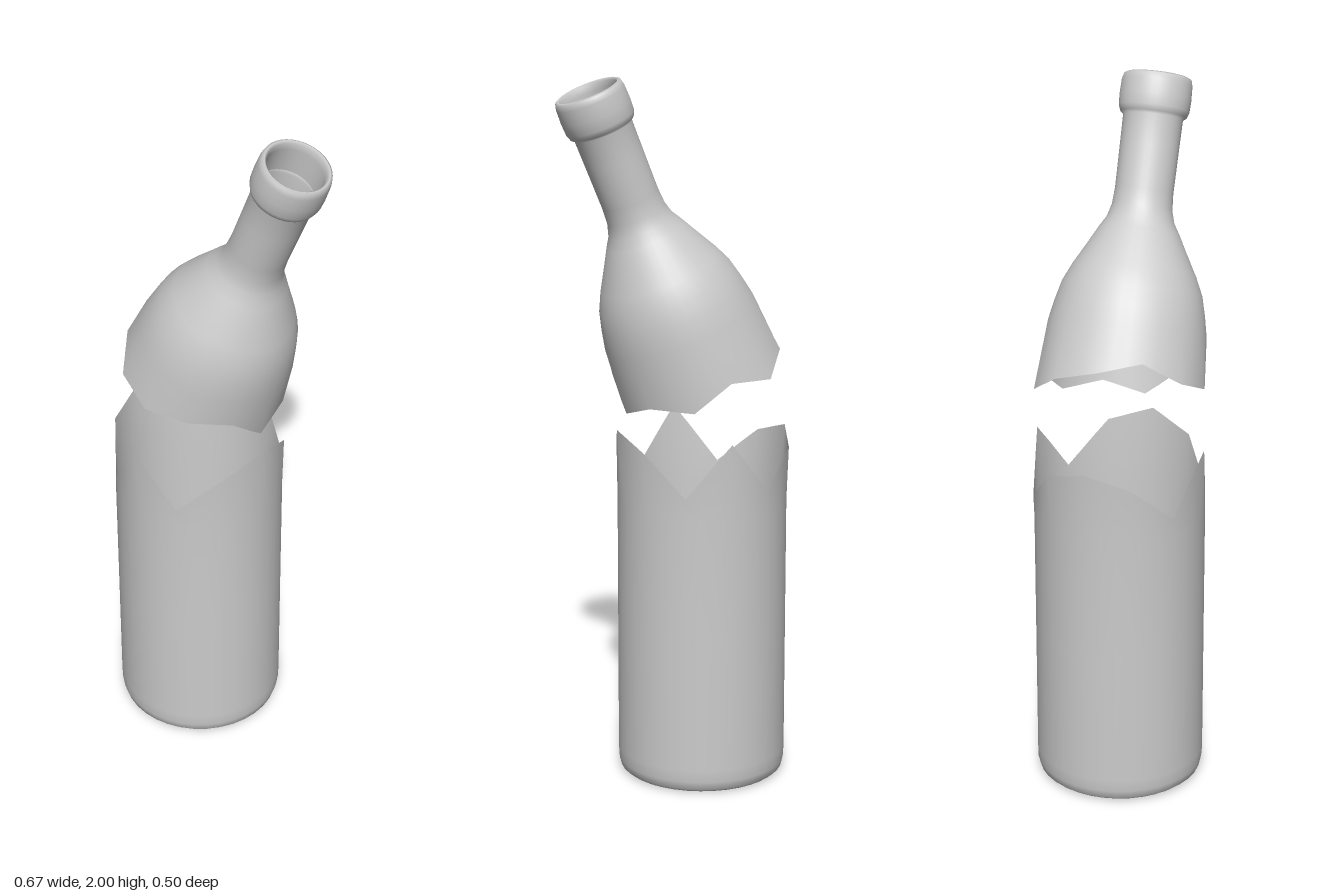
import * as THREE from 'three';

const DEG = Math.PI / 180;
const SEGMENTS = 36;
const material = new THREE.MeshStandardMaterial({ color: 0xcccccc, side: THREE.DoubleSide });

// Lathed shell whose row `row` becomes a broken edge: 12 heights, 30 degrees
// apart from +x towards +z, joined by straight chords.
function brokenShell(name, profile, row, heights, offset, radiusAt) {
  const points = profile.map(([r, y]) => new THREE.Vector2(r, y));
  const geometry = new THREE.LatheGeometry(points, SEGMENTS, -offset * DEG);
  const pos = geometry.attributes.position;
  for (let i = 0; i <= SEGMENTS; i++) {
    const angle = (90 + offset - i * 360 / SEGMENTS + 720) % 360; // from +x
    const s = (((angle - offset + 360) % 360) / 30) % 12;
    const k = Math.floor(s + 1e-6);
    const t = Math.max(0, s - k);
    const a = heights[k % 12], b = heights[(k + 1) % 12];
    const y = a + (b - a) * t;
    const chord = Math.cos(15 * DEG) / Math.cos((t - 0.5) * 30 * DEG);
    const r = radiusAt(y) * chord;
    pos.setXYZ(i * points.length + row, r * Math.cos(angle * DEG), y, r * Math.sin(angle * DEG));
  }
  const mesh = new THREE.Mesh(geometry, material);
  mesh.name = name;
  return mesh;
}

export function createModel() {
  const model = new THREE.Group();
  model.name = 'brokenBottle';

  // Standing lower half: flat base, rounded heel, straight wall, jagged top
  const lowerProfile = [
    [0, 0], [0.2, 0], [0.222, 0.003], [0.233, 0.012], [0.239, 0.035],
    [0.24, 0.07], [0.24, 0.45], [0.24, 0.8], [0.25, 1],
  ];
  const lowerEdge = [1.02, 0.97, 0.86, 1.02, 0.855, 0.96, 1.0, 0.965, 0.86, 1.015, 0.86, 0.98];
  const lower = brokenShell('lowerBottle', lowerProfile, lowerProfile.length - 1,
    lowerEdge, 4, (y) => 0.24 + 0.055 * (y - 0.82));
  lower.position.x = -0.087;
  model.add(lower);

  // Tilted upper half: broken skirt, shoulder, neck and rolled lip (mouth at y = 0)
  const upperProfile = [
    [0.24, -0.85], [0.22, -0.7], [0.209, -0.645], [0.195, -0.59], [0.172, -0.54],
    [0.136, -0.475], [0.112, -0.43], [0.094, -0.4], [0.084, -0.365], [0.081, -0.32],
    [0.082, -0.2], [0.083, -0.115], [0.092, -0.108], [0.098, -0.092], [0.0995, -0.06],
    [0.098, -0.02], [0.094, -0.004], [0.087, 0], [0.081, -0.006], [0.079, -0.025], [0.079, -0.1],
  ];
  const upperEdge = [-0.87, -0.785, -0.804, -0.843, -0.84, -0.8, -0.84, -0.865, -0.898, -0.845, -0.885, -0.845];
  const upper = brokenShell('upperBottle', upperProfile, 0,
    upperEdge, 0, (y) => 0.24 + 0.1 * Math.min(0, -0.85 - y));
  upper.position.set(0.25, 1.965, 0);
  upper.rotation.z = -22.3 * DEG;
  model.add(upper);

  return model;
}
